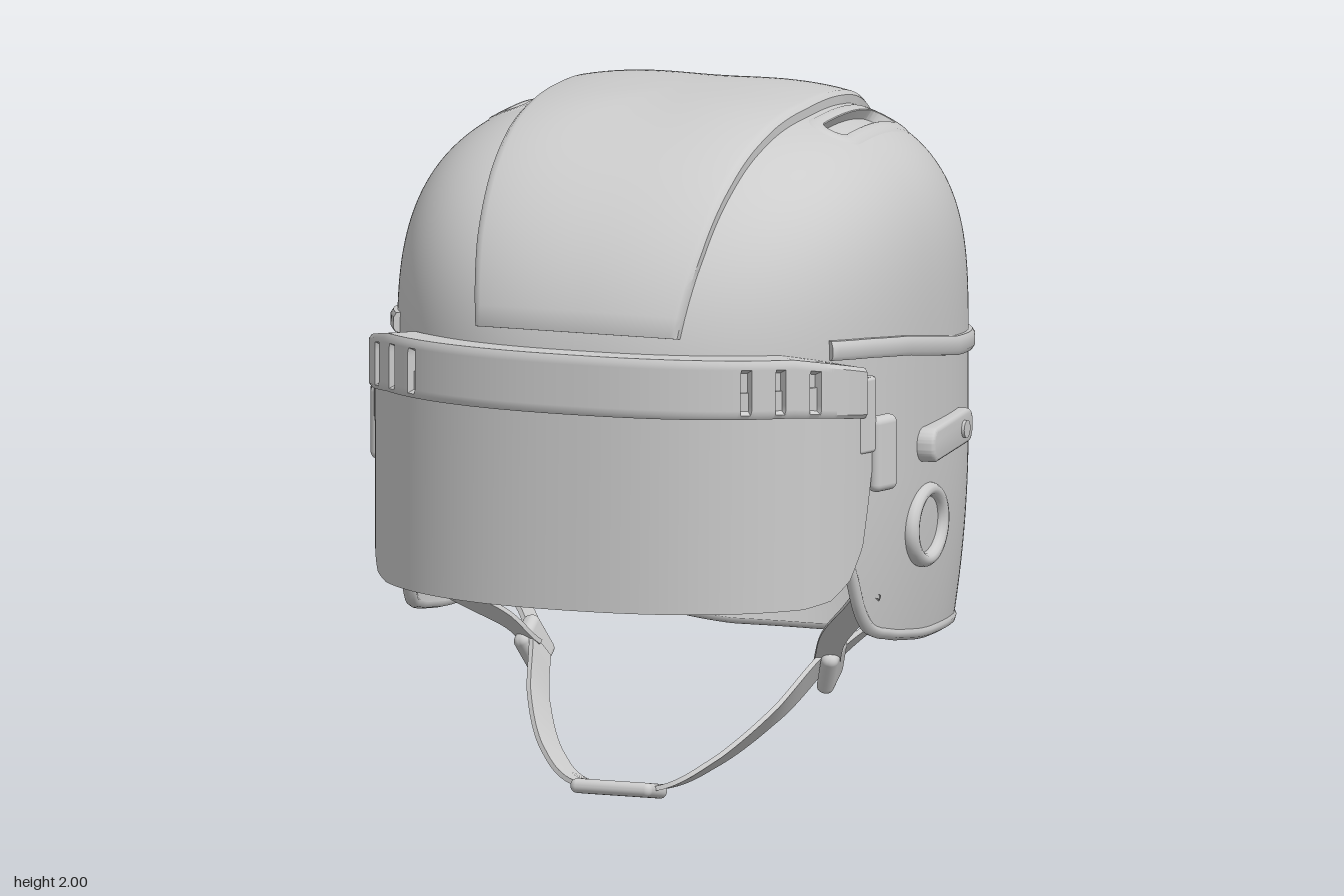
import * as THREE from 'three';
import { toCreasedNormals } from 'three/addons/utils/BufferGeometryUtils.js';
import { RoundedBoxGeometry } from 'three/addons/geometries/RoundedBoxGeometry.js';

const { abs, sin, cos, pow, sign, min, max, atan2, floor, PI } = Math;
const V = (x, y, z) => new THREE.Vector3(x, y, z);

// Helmet body: superellipse plan, dome above Y0, tapering wall below
const A = 0.77, B = 0.93, ZC = -0.018, Y0 = 1.25, H = 0.715, N = 2.38;
const CORE = V(0, 1.2, 0);
const spow = (v, p) => sign(v) * pow(abs(v), p);
const domeExp = (s2) => 2.28 + 1.05 * s2;

// Linear interpolation through [x, y] points with ascending x
function lut(pts, x) {
  if (x <= pts[0][0]) return pts[0][1];
  for (let i = 1; i < pts.length; i++) {
    const [x0, y0] = pts[i - 1], [x1, y1] = pts[i];
    if (x <= x1) return y0 + (y1 - y0) * (x - x0) / (x1 - x0);
  }
  return pts[pts.length - 1][1];
}

// Grid surface from fn(i, j)
function grid(nu, nv, fn, crease) {
  const pos = [], idx = [];
  for (let j = 0; j <= nv; j++) for (let i = 0; i <= nu; i++) pos.push(...fn(i, j).toArray());
  for (let j = 0; j < nv; j++) for (let i = 0; i < nu; i++) {
    const a = j * (nu + 1) + i, b = a + 1, c = a + nu + 1, d = c + 1;
    idx.push(a, b, d, a, d, c);
  }
  const g = new THREE.BufferGeometry();
  g.setAttribute('position', new THREE.Float32BufferAttribute(pos, 3));
  g.setIndex(idx);
  g.computeVertexNormals();
  return crease ? toCreasedNormals(g, crease) : g;
}

// Point of the helmet at azimuth a (0 = front, +x = left) and height y
function surf(a, y, off = 0) {
  let k = 1;
  if (y > Y0) {
    const n = domeExp(sin(a) ** 2);
    k = pow(1 - pow((y - Y0) / H, n), 1 / n);
  } else {
    const t = min(1, max(0, (0.95 - y) / 0.65));
    k = 1 - t * t * (0.065 + 0.065 * max(0, -cos(a)) ** 2);
  }
  k += off / 0.85;
  return V(A * k * spow(sin(a), 2 / N), y, ZC + B * k * spow(cos(a), 2 / N));
}

// Vent slots: two on top, two at the back
const TOP = { name: 'TopVent', x: 0.49, y: 1.87, z: -0.15, half: 0.195, r: 0.034, onTop: true };
const BACK = { name: 'BackVent', x: 0.405, y: 1.41, z: -0.84, half: 0.065, r: 0.026, onTop: false };
function inVent(p) {
  const vent = p.y > 1.7 ? TOP : BACK;
  if (!vent.onTop && p.z > 0) return false;
  const v = vent.onTop ? p.z - vent.z : p.y - vent.y;
  return Math.hypot(abs(p.x) - vent.x, max(0, abs(v) - vent.half)) < vent.r + 0.014;
}

function domePoint(a, e) {
  const n = domeExp(sin(a) ** 2), k = pow(max(0, cos(e)), 2 / n);
  const p = V(A * k * spow(sin(a), 2 / N), Y0 + H * pow(sin(e), 2 / n), ZC + B * k * spow(cos(a), 2 / N));
  return inVent(p) ? p.lerp(CORE, 0.06) : p;
}

// Dome point on a ray in the plane x = const, raised by off
function domeRay(x, phi, off) {
  let lo = 0, hi = 1.2;
  for (let i = 0; i < 30; i++) {
    const d = (lo + hi) / 2;
    const px = pow(abs(x / A), N), q = px + pow(abs(d * cos(phi) / B), N) + 1e-9;
    const n = domeExp(px / q);
    if (pow(q, n / N) + pow(d * sin(phi) / H, n) < 1) lo = d; else hi = d;
  }
  return V(x, Y0 + (lo + off) * sin(phi), ZC + (lo + off) * cos(phi));
}

// Capsule-shaped vent: flush collar, wall and floor
function ventGeometry(vent, s) {
  const rings = [[0.05, -0.004], [0.036, 0.004], [0.02, 0.004], [0.003, 0.004], [0, 0.002], [0, -0.03], [-vent.r, -0.03]];
  return grid(96, 6, (i, j) => {
    // quarters of the outline: straight, arc, straight, arc
    const q = i / 24, seg = floor(q) % 4, f = q % 1;
    const t = [0, f * PI, PI, PI + f * PI][seg], m = [2 * f - 1, 1, 1 - 2 * f, -1][seg];
    const rad = vent.r + rings[j][0];
    const x = vent.x + rad * cos(t), v = rad * sin(t) + m * vent.half;
    let y = vent.y + (vent.onTop ? 0 : v), z = vent.z + (vent.onTop ? v : 0), p;
    for (let k = 0; k < 6; k++) {
      p = domeRay(x, atan2(y - Y0, z - ZC), 0);
      if (vent.onTop) y = p.y; else z = p.z;
    }
    p.addScaledVector(p.clone().sub(CORE).normalize(), rings[j][1]);
    p.x *= s;
    return p;
  }, 0.6);
}

// Visor plan curve
const visor = (a, y, off) => V(
  (0.77 + off) * spow(sin(a), 2 / 2.3), y, 0.3 + (0.662 + off) * spow(cos(a), 2 / 2.3));

// Flat strap swept along a curve, wide along dir
function strap(points, width, thick, dir) {
  const curve = new THREE.CatmullRomCurve3(points);
  const corners = [[-1, -1], [1, -1], [1, 1], [-1, 1], [-1, -1]];
  return grid(4, 40, (i, j) => {
    const t = curve.getTangent(j / 40), w = dir.clone().addScaledVector(t, -dir.dot(t)).normalize();
    const n = w.clone().cross(t);
    return curve.getPoint(j / 40).addScaledVector(w, corners[i][0] * width / 2)
      .addScaledVector(n, corners[i][1] * thick / 2);
  }, 0.6);
}

// Rounded plate with soft edges, facing +z
function plate(w, h, r, d) {
  const b = 0.012, x = w / 2 - b, y = h / 2 - b, s = new THREE.Shape();
  r -= b;
  s.absarc(x - r, y - r, r, 0, PI / 2);
  s.absarc(-x + r, y - r, r, PI / 2, PI);
  s.absarc(-x + r, -y + r, r, PI, 1.5 * PI);
  s.absarc(x - r, -y + r, r, 1.5 * PI, 2 * PI);
  const g = new THREE.ExtrudeGeometry(s, { depth: d, bevelSize: b, bevelThickness: b, bevelSegments: 3, curveSegments: 10 });
  return toCreasedNormals(g.translate(0, 0, -d / 2), 0.6);
}

export function createModel() {
  const model = new THREE.Group();
  const gray = new THREE.MeshStandardMaterial({ color: 0xcccccc, side: THREE.DoubleSide });
  gray.name = 'gray';
  const add = (name, geo, pos = [0, 0, 0], rot = [0, 0, 0]) => {
    const m = new THREE.Mesh(geo, gray);
    m.name = name;
    m.position.set(...pos);
    m.rotation.set(...rot);
    model.add(m);
    return m;
  };

  // Dome, and the brow wall under its front
  const a0 = 1.062, NS = 160;
  add('dome', grid(360, 90, (i, j) => domePoint(i / 360 * 2 * PI, j / 90 * PI / 2)));
  add('browWall', grid(80, 1, (i, j) => surf((i / 40 - 1) * a0, Y0 - j * 0.06)));

  // Raised crest strip running front to back
  const crestWidth = [[0, 0.308], [0.1, 0.343], [0.2, 0.367], [0.3, 0.385], [0.45, 0.4], [0.6, 0.4],
    [0.68, 0.387], [0.77, 0.36], [0.88, 0.318], [1, 0.25]];
  const rim = (i, n) => [min(1, max(0, (i - 1) / (n - 2))),
    i === 0 || i === n ? -0.03 : i === 1 || i === n - 1 ? 0.026 : 0.036];
  add('crest', grid(60, 90, (i, j) => {
    const [u, ou] = rim(i, 60), [v, ov] = rim(j, 90);
    return domeRay((2 * u - 1) * lut(crestWidth, v), 0.2 + v * (PI - 0.285), min(ou, ov));
  }, 0.7));

  // Lower shell, open at the face, with a liner and a rolled edge
  const hem = [[-0.87, 0.3], [-0.8, 0.342], [-0.73, 0.375], [-0.62, 0.405], [-0.5, 0.42], [-0.3, 0.435], [0, 0.45],
    [0.2, 0.48], [0.33, 0.51], [0.38, 0.55], [0.45, 0.72], [0.49, 0.85]];
  const shellAngle = (i) => a0 + i / NS * 2 * (PI - a0);
  const hemY = (a) => lut(hem, surf(a, 0.45).z);
  const wall = (off) => grid(NS, 30, (i, j) => {
    const a = shellAngle(i), y = Y0 + (hemY(a) - Y0) * j / 30;
    return surf(a, y, off * min(1, j / 4));
  });
  add('lowerShell', wall(0));
  add('liner', wall(-0.035));
  const edge = [];
  for (let k = 0; k < 6; k++) edge.push(surf(a0, 1.25 - k * 0.07, -0.014));
  for (let i = 0; i <= NS; i += 2) edge.push(surf(shellAngle(i), hemY(shellAngle(i)), -0.014));
  for (let k = 5; k >= 0; k--) edge.push(surf(-a0, 1.25 - k * 0.07, -0.014));
  add('edgeTrim', new THREE.TubeGeometry(new THREE.CatmullRomCurve3(edge), 300, 0.02, 8));

  // Seam band between dome and lower shell
  const seam = [[-0.95, 1.19], [-0.6, 1.21], [-0.2, 1.255], [0.2, 1.325], [0.4, 1.35], [0.56, 1.365]];
  const seamProfile = [[-0.02, -0.03], [0.012, -0.028], [0.02, -0.016], [0.02, 0.016], [0.012, 0.028], [-0.02, 0.03]];
  add('seamBand', grid(5, 142, (i, j) => {
    const t = min(1, max(0, (j - 1) / 140)), a = 0.975 + t * 2 * (PI - 0.975);
    const y = lut(seam, surf(a, Y0).z), cap = j === 0 || j === 142;
    return surf(a, y + seamProfile[i][1], cap ? -0.02 : seamProfile[i][0]);
  }, 0.8));

  // Visor shield
  const shieldHem = [[0.46, 1.05], [0.49, 0.9], [0.515, 0.79], [0.57, 0.7], [0.64, 0.65], [0.72, 0.635]];
  add('visorShield', grid(4, 160, (i, j) => {
    const a = (j / 80 - 1) * 1.38, top = i === 1 || i === 2, off = i === 2 || i === 3 ? -0.02 : 0;
    return visor(a, top ? 1.28 : lut(shieldHem, visor(a, 0, 0).z), off);
  }, 0.6));

  // Visor brow band with three sunken slots on each side
  const browTop = [[0.5, 1.31], [0.56, 1.325], [0.75, 1.37], [0.97, 1.385]];
  const browLow = [[0.5, 1.165], [0.75, 1.2], [0.97, 1.21]];
  add('visorBand', grid(16, 420, (i, j) => {
    const a = (min(1, max(0, (j - 1) / 418)) * 2 - 1) * 1.29, p = visor(a, 0, 0);
    const lo = lut(browLow, p.z), hi = lut(browTop, p.z), cap = j === 0 || j === 420;
    if (i === 0 || i >= 15) return visor(a, i === 15 ? hi : lo, cap ? 0 : -0.07);
    const v = (i - 1) / 13;
    const slot = i > 2 && i < 12 && [0.5, 0.58, 0.655].some((x) => abs(abs(p.x) - x) < 0.011);
    const off = cap ? 0 : slot ? -0.008 : i === 1 || i === 14 ? 0.01 : 0.018;
    return visor(a, lo + (hi - lo) * v, off);
  }, 0.6));

  // Fittings on both sides
  for (const s of [1, -1]) {
    const side = s === 1 ? 'left' : 'right';
    for (const vent of [TOP, BACK]) add(side + vent.name, ventGeometry(vent, s));
    add(side + 'Hinge', new RoundedBoxGeometry(0.05, 0.22, 0.1, 4, 0.022), [s * 0.768, 1.05, 0.42], [0, s * -0.35, 0]);
    add(side + 'HingeArm', new RoundedBoxGeometry(0.03, 0.22, 0.075, 2, 0.01), [s * 0.742, 1.17, 0.49], [0, s * -0.35, 0]);
    add(side + 'SidePad', plate(0.41, 0.1, 0.045, 0.04), [s * 0.772, 1.015, -0.085], [0, s * (PI / 2 + 0.07), 0]);
    add(side + 'PadStud', new THREE.CylinderGeometry(0.024, 0.026, 0.05, 20), [s * 0.782, 1.015, -0.19], [0, 0, PI / 2]);
    const ring = add(side + 'EarRing', new THREE.TorusGeometry(0.125, 0.026, 12, 48), [s * 0.765, 0.775, 0.045], [0, PI / 2, 0]);
    ring.scale.y = 0.81;

    // Chin harness
    const wide = V(0, 0.1, 1), tilted = V(0, 0.6, 0.8);
    add(side + 'ChinStrap', strap([V(0, 0.035, 0.52), V(s * 0.14, 0.05, 0.49), V(s * 0.25, 0.11, 0.39),
      V(s * 0.36, 0.22, 0.2), V(s * 0.43, 0.34, 0)], 0.1, 0.014, wide));
    add(side + 'FrontStrap', strap([V(s * 0.45, 0.35, 0.01), V(s * 0.5, 0.43, 0.1), V(s * 0.62, 0.54, 0.26),
      V(s * 0.7, 0.62, 0.35)], 0.075, 0.014, tilted));
    add(side + 'RearStrap', strap([V(s * 0.45, 0.35, -0.03), V(s * 0.52, 0.42, -0.12), V(s * 0.63, 0.5, -0.2),
      V(s * 0.72, 0.58, -0.25)], 0.08, 0.014, wide));
    add(side + 'Buckle', new RoundedBoxGeometry(0.05, 0.14, 0.13, 4, 0.022), [s * 0.455, 0.335, -0.02], [0.5, 0, s * -0.3]);
  }

  // Chin pad and rear plate
  add('chinPad', new RoundedBoxGeometry(0.25, 0.042, 0.16, 4, 0.02), [0, 0.038, 0.52], [-0.2, 0, 0]);
  add('rearPlate', plate(0.3, 0.14, 0.045, 0.03), [0, 0.6, -0.91], [-0.22, PI, 0]);

  return model;
}
